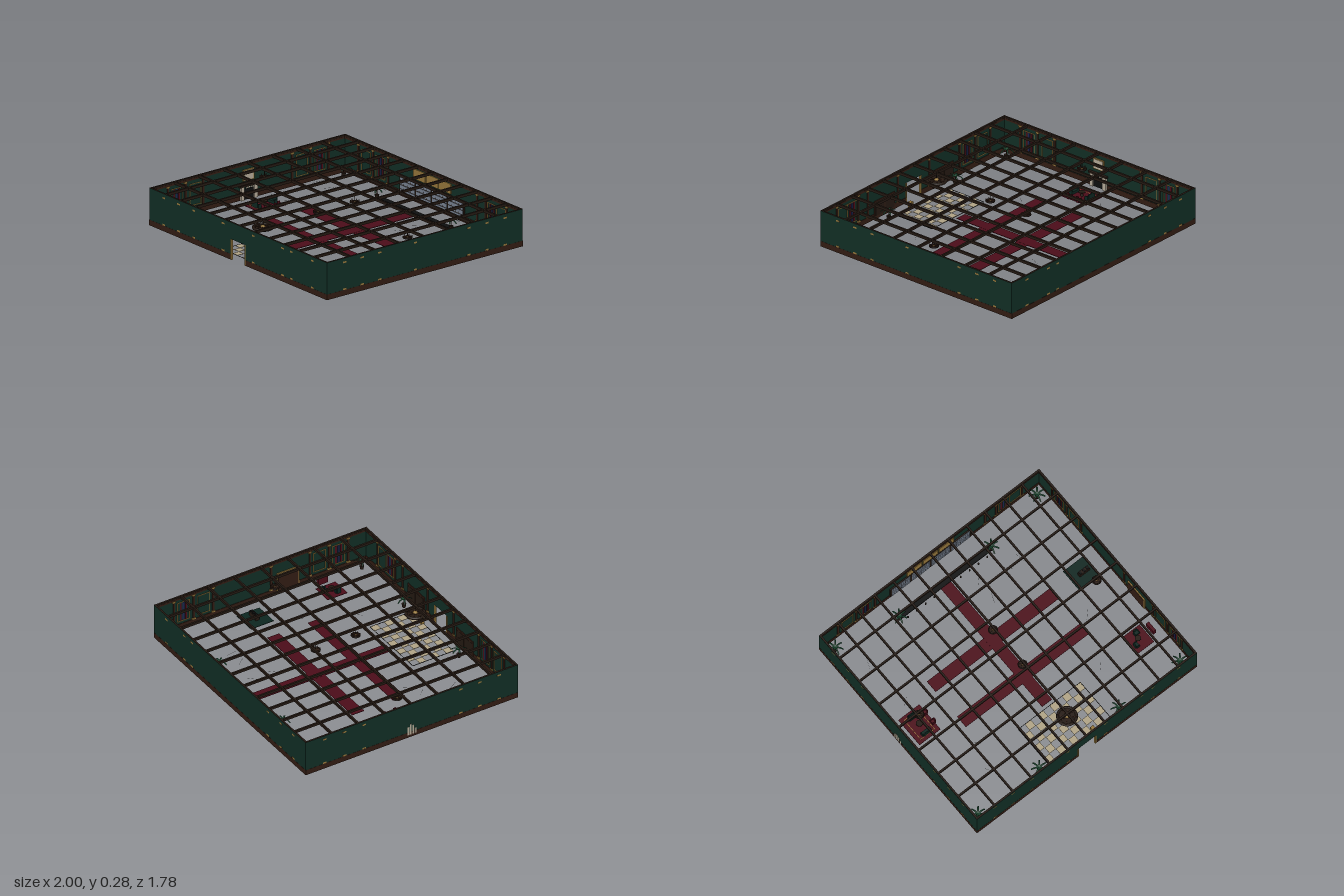
import * as THREE from 'three';

const mat = (color, side = THREE.FrontSide) => new THREE.MeshStandardMaterial({ color, side });
const M = {
  wall: mat(0x112e25), wood: mat(0x321c13), dark: mat(0x241912), black: mat(0x0e0f0f), gold: mat(0x94753a),
  red: mat(0x4c0d19), green: mat(0x0d2620), tan: mat(0xb0a385), slate: mat(0x76808f),
  blue: mat(0x1c2450), leaf: mat(0x17402a, THREE.DoubleSide), beige: mat(0xb5aa98), vein: mat(0x999999),
};
const W = 1, D = 0.89, H = 0.28, T = 0.01;

export function createModel() {
  const root = new THREE.Group();

  const add = (name, geo, m, x, y, z, parent = root) => {
    const mesh = new THREE.Mesh(geo, m);
    mesh.name = name;
    mesh.position.set(x, y, z);
    parent.add(mesh);
    return mesh;
  };
  // box given by its centre in x and z and by its bottom in y
  const box = (name, m, w, h, d, x, y, z, parent) =>
    add(name, new THREE.BoxGeometry(w, h, d), m, x, y + h / 2, z, parent);
  const cyl = (name, m, rt, rb, h, x, y, z, parent, n = 12) =>
    add(name, new THREE.CylinderGeometry(rt, rb, h, n), m, x, y + h / 2, z, parent);
  const group = (name, x = 0, y = 0, z = 0, ry = 0) => {
    const g = new THREE.Group();
    g.name = name;
    g.position.set(x, y, z);
    g.rotation.y = ry;
    root.add(g);
    return g;
  };

  // Walls with baseboards
  box('backWall', M.wall, 2 * W, H, T, 0, 0, -D + T / 2);
  for (const s of [-1, 1]) {
    box('sideWall', M.wall, T, H, 2 * D, s * (W - T / 2), 0, 0);
    box('sideBaseboard', M.wood, T + 0.004, 0.042, 2 * D, s * (W - T / 2 - 0.001), 0, 0);
    box('frontBaseboard', M.wood, W - 0.08, 0.042, T + 0.004, s * (W + 0.08) / 2, 0, D - T / 2 - 0.001);
    box('doorJamb', M.gold, 0.01, 0.155, 0.016, s * 0.08, 0, D - 0.006);
  }
  box('backBaseboard', M.wood, 2 * W, 0.042, T + 0.004, 0, 0, -D + T / 2 + 0.001);
  const front = new THREE.Shape([[-W, 0], [-0.08, 0], [-0.08, 0.155], [0.08, 0.155], [0.08, 0], [W, 0], [W, H], [-W, H]]
    .map(p => new THREE.Vector2(...p)));
  add('frontWall', new THREE.ExtrudeGeometry(front, { depth: T, bevelEnabled: false }), M.wall, 0, 0, D - T);

  // Ceiling beams, the outermost ones capping the walls
  const inside = (v, edge) => Math.max(-edge + 0.0075, Math.min(edge - 0.0075, v));
  for (let i = 0; i <= 12; i++) box('longBeam', M.dark, 0.014, 0.02, 2 * D - 0.002, inside((i / 6 - 1) * W, W), H - 0.019, 0);
  for (let i = 0; i <= 8; i++) box('crossBeam', M.dark, 2 * W - 0.002, 0.02, 0.014, 0, H - 0.0185, inside((i / 4 - 1) * D, D));

  // Wall panelling: pilasters with gold ends, gold frames and coloured glass
  const panelWall = (name, x, z, ry, half, stops, bays) => {
    const g = group(name, x, 0, z, ry);
    for (const p of stops) {
      box('pilaster', M.wood, 0.016, 0.21, 0.008, p, 0.042, 0.012, g);
      for (const y of [0.042, 0.244]) box('pilasterCap', M.gold, 0.03, 0.012, 0.019, p, y, 0.0088, g);
    }
    for (const [p, glass] of bays) {
      for (const s of [-1, 1]) {
        box('frameSide', M.gold, 0.004, 0.16, 0.006, p + s * 0.05, 0.065, 0.012, g);
        box('frameRail', M.gold, 0.104, 0.004, 0.006, p, 0.143 + s * 0.08, 0.012, g);
        if (glass) box('redGlass', M.red, 0.014, 0.15, 0.004, p + s * 0.022, 0.07, 0.011, g);
      }
      if (glass) box('blueGlass', M.blue, 0.014, 0.15, 0.004, p, 0.07, 0.011, g);
    }
    box('cornice', M.wood, 2 * half - 0.03, 0.014, 0.008, 0, 0.255, 0.012, g);
  };
  const xs = [-0.835, -0.67, -0.5, -0.17, 0.17, 0.5, 0.6, 0.835];
  const zs = [-0.73, -0.565, -0.4, 0.085, 0.41, 0.57, 0.73];
  const xBays = [[-0.75, 0], [-0.585, 1], [0.67, 1], [0.77, 0]];
  const zBays = [[-0.65, 1], [-0.48, 0], [0.49, 0], [0.65, 1]];
  panelWall('backPanelling', 0, -D, 0, W, xs.filter(x => Math.abs(x) > 0.4), xBays);
  panelWall('frontPanelling', 0, D, Math.PI, W, xs.map(x => -x), xBays.map(([x, glass]) => [-x, glass]));
  panelWall('leftPanelling', W, 0, -Math.PI / 2, D, zs, zBays);
  panelWall('rightPanelling', -W, 0, Math.PI / 2, D, zs.map(z => -z).filter(z => Math.abs(z) > 0.1), zBays);

  // Carpets, bordered checkered inlay and fine marble veins
  box('mainCarpet', M.red, 0.09, 0.004, 1.14, 0, 0.001, -0.13);
  for (const z of [-0.17, 0.17]) box('crossCarpet', M.red, 1.12, 0.003, 0.1, 0, 0.001, z);
  for (let i = 0; i < 10; i++) for (let j = 0; j < 6; j++)
    if ((i + j) % 2) box('inlayTile', M.tan, 0.055, 0.003, 0.055, -0.252 + i * 0.056, 0.001, 0.495 + j * 0.056);
  for (const s of [-1, 1]) {
    box('inlayBorder', M.black, 0.004, 0.003, 0.34, s * 0.282, 0.001, 0.635);
    box('inlayBorder', M.black, 0.564, 0.003, 0.003, 0, 0.001, 0.635 + s * 0.17);
  }
  [[-0.8, -0.58, 1.2], [-0.95, -0.6, 1.4], [-0.77, -0.2, 0.7], [-0.58, 0.35, -0.8], [-0.63, 0.58, -1], [-0.48, 0.29, 0.9],
    [0.2, -0.58, 0.8], [0.42, -0.53, -0.9], [0.54, -0.53, -1.4], [0.46, 0.47, 0.8], [0.64, 0.1, 0.8], [0.2, -0.42, 1.2]]
    .forEach(([x, z, a]) => { box('marbleVein', M.vein, 0.08, 0.001, 0.0015, x, 0.001, z).rotation.y = a; });

  // Low reception counter plinth with a row of posts
  box('counterPlinth', M.black, 0.83, 0.012, 0.042, 0, 0, -0.72);
  for (const s of [-1, 1]) for (let i = 0; i < 4; i++)
    cyl('counterPost', M.dark, 0.006, 0.006, 0.018, s * (0.12 + i * 0.08), 0, -0.68);

  // Pigeonhole rack with gilded boards above
  const rack = group('keyRack', 0, 0, -D + T);
  box('rackCase', M.dark, 0.73, 0.14, 0.01, 0, 0.02, 0.005, rack);
  for (let i = 0; i < 4; i++) for (let j = 0; j < 4; j++) {
    box('pigeonholes', M.slate, 0.165, 0.027, 0.004, (i - 1.5) * 0.18, 0.027 + j * 0.033, 0.011, rack);
    for (let k = -1; k <= 1; k++)
      box('divider', M.dark, 0.003, 0.01, 0.006, (i - 1.5) * 0.18 + k * 0.04, 0.027 + j * 0.033, 0.011, rack);
  }
  for (let i = -1; i <= 1; i++) box('giltBoard', M.gold, 0.135, 0.075, 0.008, i * 0.145, 0.172, 0.005, rack);

  // Wooden panels either side of the entrance
  for (const s of [-1, 1]) {
    box('cabinet', M.wood, 0.22, 0.14, 0.008, s * 0.32, 0, D - 0.013);
    for (const k of [-1, 1]) box('cabinetDoor', M.dark, 0.095, 0.1, 0.003, s * 0.32 + k * 0.053, 0.025, D - 0.018);
  }
  box('bellStand', M.gold, 0.028, 0.05, 0.028, 0.125, 0, 0.8);

  // Fireplace on the right wall
  const fire = group('fireplace', -W + T, 0, 0, Math.PI / 2);
  box('hearth', M.black, 0.09, 0.08, 0.006, 0, 0, 0.003, fire);
  for (const s of [-1, 1]) box('fireplacePier', M.beige, 0.03, 0.1, 0.018, s * 0.06, 0, 0.009, fire);
  box('mantel', M.dark, 0.17, 0.014, 0.022, 0, 0.1, 0.011, fire);
  box('pictureFrame', M.gold, 0.1, 0.085, 0.008, 0, 0.14, 0.004, fire);
  box('picture', M.beige, 0.085, 0.07, 0.01, 0, 0.147, 0.005, fire);
  [0.045, 0.075, 0.09, 0.07].forEach((h, i) => box('chimneyStone', M.beige, 0.014, h, 0.014, -0.03 + i * 0.02, 0.02, -0.005, fire));

  // Side door on the left wall
  box('sideDoorFrame', M.gold, 0.01, 0.17, 0.19, W - 0.014, 0, 0.225);
  box('sideDoor', M.wood, 0.01, 0.16, 0.17, W - 0.016, 0, 0.225);

  // Seating areas
  const chair = (m, x, z, ry, w = 0.04) => {
    const g = group('armchair', x, 0.004, z, ry);
    box('seat', m, w, 0.022, 0.026, 0, 0, 0, g);
    box('backrest', m, w, 0.048, 0.007, 0, 0, -0.016, g);
    for (const s of [-1, 1]) box('armrest', m, 0.006, 0.032, 0.028, s * (w / 2 + 0.003), 0, 0, g);
  };
  const table = (x, z, r) => {
    cyl('tableLeg', M.dark, 0.005, 0.012, 0.028, x, 0.004, z);
    cyl('tableTop', M.dark, r, r, 0.005, x, 0.032, z, root, 20);
  };
  box('loungeRug', M.red, 0.19, 0.004, 0.24, -0.805, 0.001, 0);
  for (const s of [-1, 1]) {
    box('rugStripe', M.gold, 0.13, 0.002, 0.004, -0.805, 0.004, s * 0.092);
    box('rugStripe', M.gold, 0.004, 0.002, 0.184, -0.805 + s * 0.063, 0.004, 0);
    chair(M.green, -0.805, s * 0.072, s > 0 ? Math.PI : 0, 0.065);
    chair(M.red, -0.72, s * 0.045, -Math.PI / 2, 0.022);
  }
  table(-0.805, 0, 0.025);
  box('readingRug', M.green, 0.19, 0.004, 0.19, 0.805, 0.001, -0.165);
  box('readingTable', M.dark, 0.09, 0.035, 0.03, 0.82, 0.004, -0.165);
  for (const x of [0.79, 0.82, 0.85]) box('book', M.black, 0.016, 0.008, 0.022, x, 0.039, -0.165);
  box('writingRug', M.red, 0.16, 0.004, 0.165, 0.8, 0.001, 0.472);
  table(0.8, 0.472, 0.022);
  chair(M.green, 0.765, 0.5, Math.PI / 2, 0.03);
  chair(M.green, 0.82, 0.43, 0, 0.03);
  box('wallSeat', M.red, 0.024, 0.06, 0.08, 0.92, 0, 0.47);

  // Chandeliers
  const chandelier = (x, z, r, arms) => {
    const g = group('chandelier', x, 0.215, z);
    cyl('rod', M.dark, 0.003, 0.003, 0.05, 0, 0, 0, g, 8);
    cyl('dish', M.dark, r * 0.75, r * 0.5, r * 0.16, 0, -r * 0.1, 0, g, 24);
    add('hub', new THREE.SphereGeometry(r * 0.25, 12, 8), M.gold, 0, 0, 0, g);
    add('ring', new THREE.TorusGeometry(r * 0.86, r * 0.14, 8, 28), M.dark, 0, 0, 0, g).rotation.x = Math.PI / 2;
    for (let i = 0; i < arms; i++) {
      const a = i / arms * Math.PI * 2, c = Math.cos(a) * r, s = Math.sin(a) * r;
      box('arm', M.wood, r * 0.85, 0.004, 0.005, c * 0.45, r * 0.05, s * 0.45, g).rotation.y = -a;
      cyl('candle', M.wood, 0.003, 0.004, 0.014, c * 0.86, 0.002, s * 0.86, g, 6);
    }
  };
  for (const [x, z] of [[0, -0.17], [0, 0.165], [-0.805, 0], [0.805, 0]]) chandelier(x, z, 0.036, 6);
  chandelier(0, 0.665, 0.078, 8);

  // Potted palms with arching leaves
  const palm = (x, z) => {
    const g = group('pottedPalm', x, 0, z);
    cyl('pot', M.dark, 0.017, 0.012, 0.03, 0, 0, 0, g);
    cyl('trunk', M.wood, 0.003, 0.004, 0.035, 0, 0.03, 0, g, 6);
    for (let i = 0; i < 7; i++) {
      const geo = new THREE.PlaneGeometry(0.06, 0.014, 5, 1).rotateX(-Math.PI / 2).translate(0.03, 0, 0);
      const p = geo.attributes.position;
      for (let k = 0; k < p.count; k++) {
        const t = p.getX(k) / 0.06;
        p.setY(k, 0.05 * t - 0.055 * t * t);
        p.setZ(k, p.getZ(k) * (1 - 0.25 * t));
      }
      geo.computeVertexNormals();
      add('leaf', geo, M.leaf, 0, 0.065, 0, g).rotation.y = i / 7 * Math.PI * 2;
    }
  };
  for (const s of [-1, 1])
    for (const [x, z] of [[0.917, -0.81], [0.418, -0.71], [0.362, 0.8], [0.917, 0.8]]) palm(s * x, z);

  return root;
}
